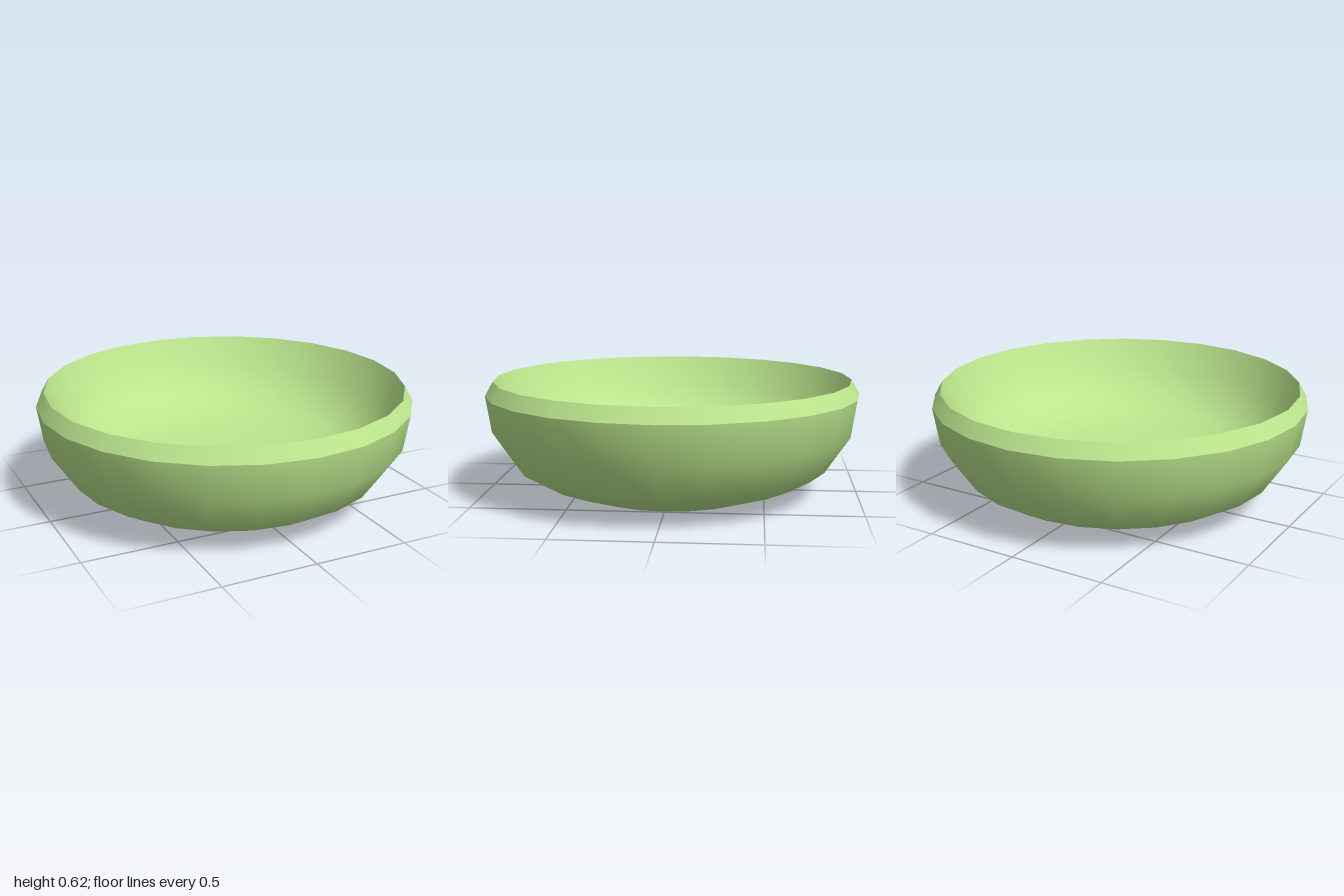
import * as THREE from 'three';

const SIDES = 24;

export function createModel() {
  const bowl = new THREE.Group();
  bowl.name = 'bowl';
  const material = new THREE.MeshStandardMaterial({ color: 0xbbe68d });

  // Each band is smooth in itself; the joints between bands stay sharp.
  const addBand = (name, profile) => {
    const points = profile.map(([r, y]) => new THREE.Vector2(r, y));
    const mesh = new THREE.Mesh(new THREE.LatheGeometry(points, SIDES), material);
    mesh.name = name;
    bowl.add(mesh);
  };

  // Underside and outer wall, from the centre up to the widest line
  addBand('outerShell', [[0, 0], [0.49, 0], [0.72, 0.08], [0.84, 0.15], [0.97, 0.345], [1, 0.54]]);

  // Bevelled lip
  addBand('rim', [[1, 0.54], [0.957, 0.615]]);

  // Hollow interior, from the lip down to the shallow floor
  addBand('innerShell', [[0.957, 0.615], [0.88, 0.45], [0.78, 0.325], [0.66, 0.25], [0.45, 0.19], [0, 0.17]]);

  return bowl;
}
